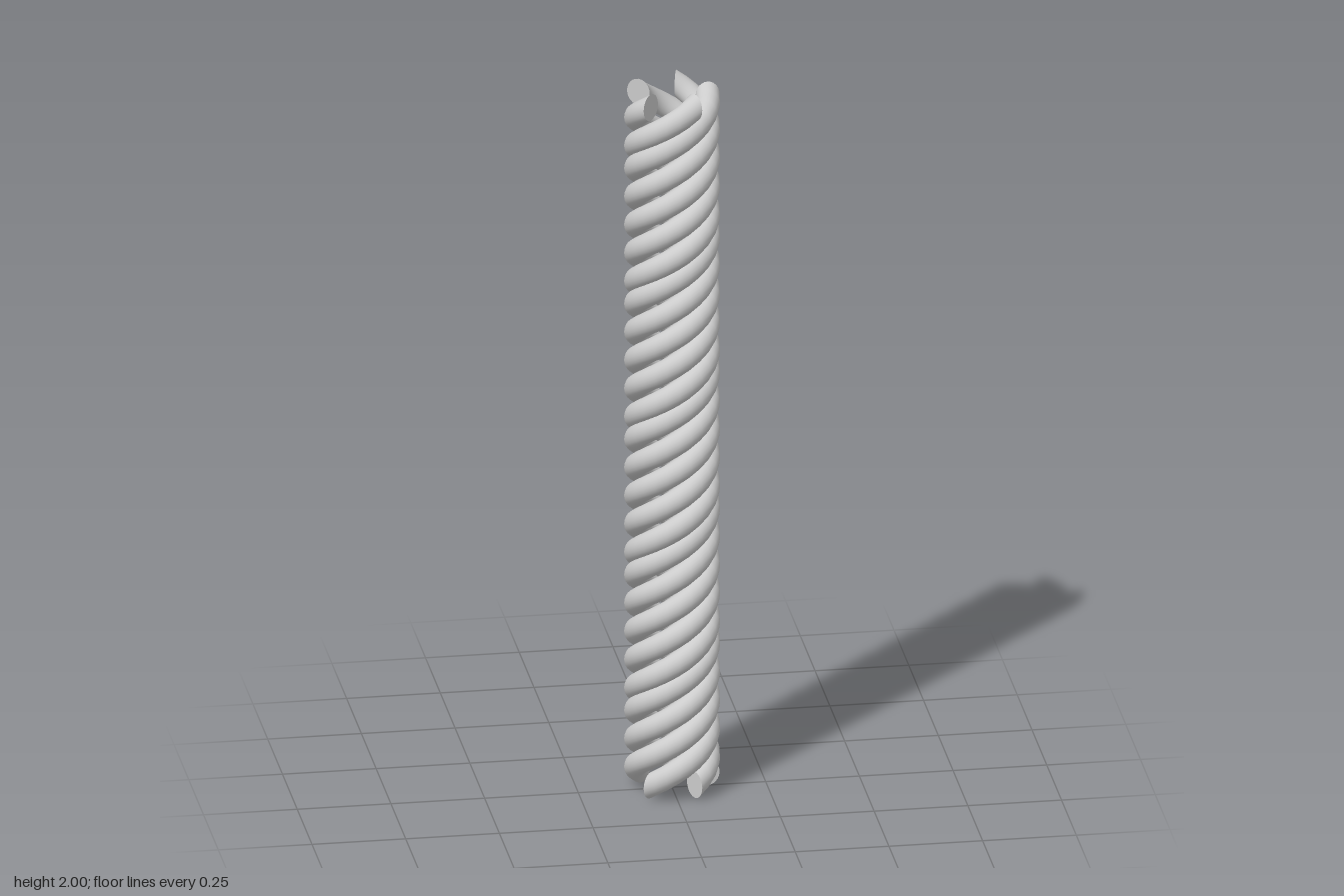
import * as THREE from 'three';
import { mergeGeometries } from 'three/addons/utils/BufferGeometryUtils.js';

const COIL_R = 0.095;        // axis to strand centre
const HALF_W = 0.032;        // strand section, radial half width
const HALF_H = 0.037;        // strand section, vertical half height
const TURNS = 5, STEPS = 24 * TURNS, SIDES = 24;
const RISE = 2 - 2 * HALF_H;

// Upright oval section swept round the axis while it climbs
function helixSweep() {
  const pos = [], index = [];
  for (let i = 0; i <= STEPS; i++) {
    const t = (i / STEPS) * TURNS * Math.PI * 2;
    for (let j = 0; j < SIDES; j++) {
      const p = (j / SIDES) * Math.PI * 2;
      const r = COIL_R + HALF_W * Math.cos(p);
      pos.push(r * Math.cos(t), HALF_H + HALF_H * Math.sin(p) + RISE * i / STEPS, -r * Math.sin(t));
      if (i === STEPS) continue;
      const k = (j + 1) % SIDES;
      const a = i * SIDES + j, b = a + SIDES, c = i * SIDES + k, d = c + SIDES;
      index.push(a, b, c, b, d, c);
    }
  }
  const g = new THREE.BufferGeometry();
  g.setAttribute('position', new THREE.Float32BufferAttribute(pos, 3));
  g.setIndex(index);
  g.computeVertexNormals();
  return g;
}

// Flat oval end, in the vertical plane through the axis
function endCap(y, turn) {
  const g = new THREE.CircleGeometry(1, SIDES).rotateY(turn);
  g.scale(HALF_W, HALF_H, 1).translate(COIL_R, y, 0);
  g.deleteAttribute('uv');
  return g;
}

export function createModel() {
  const group = new THREE.Group();
  group.name = 'twistedRope';
  const material = new THREE.MeshStandardMaterial({ color: 0xcccccc, side: THREE.DoubleSide });
  const geometry = mergeGeometries([
    helixSweep(),
    endCap(HALF_H, 0),
    endCap(HALF_H + RISE, Math.PI),
  ]);

  // Five strands, each five steps of 15 degrees after the last
  for (let i = 0; i < 5; i++) {
    const strand = new THREE.Mesh(geometry, material);
    strand.name = `strand${i + 1}`;
    strand.rotation.y = THREE.MathUtils.degToRad(75 * i);
    group.add(strand);
  }
  return group;
}
